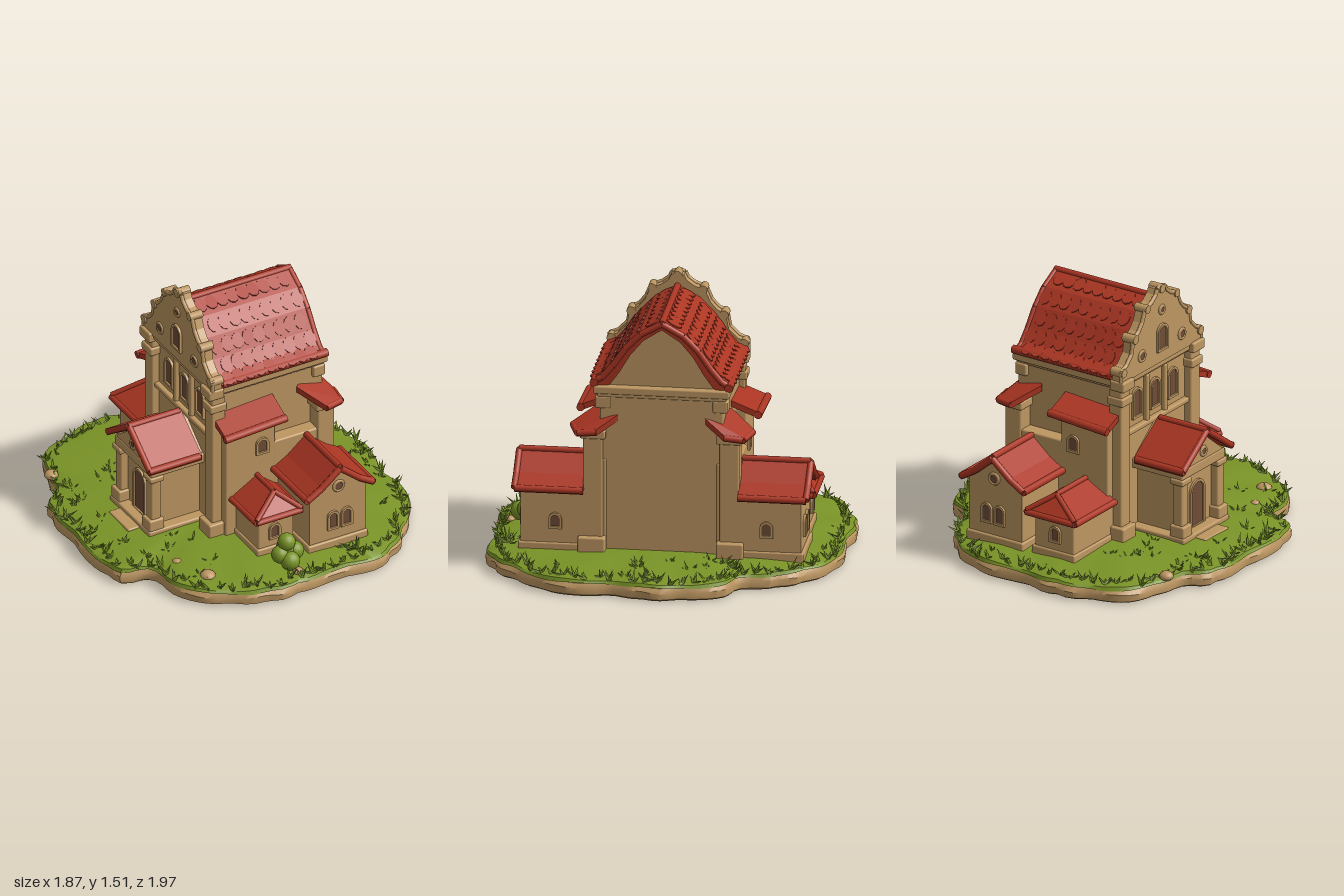
import * as THREE from 'three';
import { mergeGeometries, toCreasedNormals } from 'three/addons/utils/BufferGeometryUtils.js';
import { ConvexGeometry } from 'three/addons/geometries/ConvexGeometry.js';
import { RoundedBoxGeometry } from 'three/addons/geometries/RoundedBoxGeometry.js';

const paint = (name, color) => Object.assign(new THREE.MeshStandardMaterial({ color }), { name });
const V = (x, y, z) => new THREE.Vector3(x, y, z);

export function createModel() {
  const model = new THREE.Group();
  const plaster = paint('plaster', 0xbe9762), red = paint('roofRed', 0xac3623);
  const green = paint('grassGreen', 0x7a9427), pane = paint('windowBrown', 0x704c37);

  let seed = 7;
  const rand = () => (seed = (seed * 16807) % 2147483647) / 2147483647;
  const add = (name, geo, mat, parent = model) => {
    const m = new THREE.Mesh(geo, mat);
    m.name = name;
    parent.add(m);
    return m;
  };
  // Box given by its limits on each axis
  const box = (name, x0, x1, y0, y1, z0, z1) => {
    const m = add(name, new RoundedBoxGeometry(x1 - x0, y1 - y0, Math.abs(z1 - z0), 2, 0.01), plaster);
    m.position.set((x0 + x1) / 2, (y0 + y1) / 2, (z0 + z1) / 2);
  };
  const hull = (name, pts, mat) => add(name, new ConvexGeometry(pts), mat);
  const slab = (name, pts, t) => hull(name, [...pts, ...pts.map(p => p.clone().setY(p.y - t))], red);
  const rod = (name, a, b, r, mat = red) => {
    const m = add(name, new THREE.CylinderGeometry(r, r, a.distanceTo(b), 10), mat);
    m.position.copy(a).add(b).multiplyScalar(0.5);
    m.quaternion.setFromUnitVectors(V(0, 1, 0), b.clone().sub(a).normalize());
  };
  // Shape lying in the z-y plane, extruded along x
  const extrudeX = (name, pts, x0, x1, mat) => {
    const geo = new THREE.ExtrudeGeometry(new THREE.Shape(pts.map(p => new THREE.Vector2(-p[0], p[1]))),
      { depth: x1 - x0, bevelEnabled: false });
    const m = add(name, geo, mat);
    m.rotation.y = Math.PI / 2;
    m.position.x = x0;
  };

  // Island: an irregular outline lofted through [scale, height] rings
  const outline = new THREE.CatmullRomCurve3([[-.27, -.98], [-.5, -.91], [-.66, -.82], [-.74, -.63], [-.76, -.5], [-.88, -.38],
    [-.905, -.1], [-.915, .1], [-.86, .4], [-.7, .45], [-.68, .62], [-.55, .81], [-.36, .92], [-.18, .97], [.1, .95], [.4, .96],
    [.58, .88], [.7, .75], [.84, .58], [.88, .4], [.87, .2], [.915, 0], [.88, -.2], [.81, -.4], [.67, -.47], [.62, -.65],
    [.5, -.81], [.36, -.91], [.22, -.96], [0, -.95]].map(p => V(p[0], 0, p[1])), true);
  const N = 120, ring = outline.getSpacedPoints(N).slice(0, N);
  const loft = (name, rings, wobble, mat) => {
    const pos = [], idx = [];
    rings.forEach(([s, y], j) => ring.forEach((p, i) => {
      const t = i / N * Math.PI * 2;
      const k = s * (1 + wobble * (Math.abs(Math.sin(12 * t + 0.9 * Math.sin(7 * t))) - 0.6));
      pos.push(p.x * k, y + (s > 0.5 && y > 0.03 ? 0.005 * Math.sin(14 * t + j) : 0), p.z * k);
      if (j) {
        const a = (j - 1) * N + i, b = (j - 1) * N + (i + 1) % N;
        idx.push(a, b, b + N, a, b + N, a + N);
      }
    }));
    const g = new THREE.BufferGeometry();
    g.setAttribute('position', new THREE.Float32BufferAttribute(pos, 3));
    g.setIndex(idx);
    add(name, toCreasedNormals(g, 0.7), mat);
  };
  loft('stoneRim', [[0, 0], [0.98, 0], [1, 0.012], [1.004, 0.05], [0.985, 0.078], [0.9, 0.08]], 0.022, plaster);
  loft('lawn', [[0.9, 0.06], [1, 0.075], [0.99, 0.092], [0.9, 0.11], [0.5, 0.124], [0, 0.13]], 0.016, green);

  // Grass tufts along the edge and over the lawn
  const blades = [];
  const tuft = (x, z, size, n) => {
    for (let i = 0; i < n; i++) {
      const h = size * (0.6 + rand() * 0.6);
      const b = new THREE.ConeGeometry(0.012, h, 3);
      b.translate(0, h / 2, 0).rotateX(0.3 + rand() * 0.9).rotateY(rand() * 6.28);
      blades.push(b.translate(x, 0.092, z));
    }
  };
  for (let i = 0; i < 90; i++) {
    const p = outline.getPointAt(i / 90), k = 0.93 + rand() * 0.06;
    tuft(p.x * k, p.z * k, 0.05 + rand() * 0.03, 5);
  }
  for (let i = 0; i < 80; i++) {
    const p = outline.getPointAt(rand()), k = 0.5 + rand() * 0.42, x = p.x * k, z = p.z * k;
    const built = (x > -0.33 && x < 0.5 && Math.abs(z) < 0.8) || (x < -0.2 && x > -0.68 && Math.abs(z) < 0.25);
    if (!built) tuft(x, z, 0.065, 6);
  }
  tuft(0.35, 0.85, 0.12, 9);
  add('grassTufts', mergeGeometries(blades), green);

  // Bush and loose rocks
  [[-.1, .18, .8, .05], [-.01, .18, .8, .052], [-.05, .19, .78, .06], [-.06, .25, .8, .05], [-.06, .15, .84, .055]].forEach(
    ([x, y, z, r]) => add('bush', new THREE.SphereGeometry(r, 14, 10), green).position.set(x, y, z));
  [[-.49, .69, .045], [-.57, .49, .028], [-.04, .89, .03], [-.74, -.6, .04]].forEach(([x, z, r]) => {
    const m = add('rock', new THREE.IcosahedronGeometry(r, 1), plaster);
    m.position.set(x, 0.105, z);
    m.scale.y = 0.7;
  });

  // Arched or round window: frame with a hole, thin pane behind, facing +z before turning
  const arch = (s, w, h) => {
    s.moveTo(-w, 0).lineTo(w, 0).lineTo(w, h - w).absarc(0, h - w, w, 0, Math.PI, false).lineTo(-w, 0);
    return s;
  };
  const windowAt = (x, y, z, turn, w, h) => {
    const g = new THREE.Group(), f = 0.014;
    g.name = 'window';
    const frame = arch(new THREE.Shape(), w + f, h + 2 * f);
    frame.holes.push(new THREE.Path(arch(new THREE.Path(), w, h).getPoints(8).map(p => p.setY(p.y + f))));
    add('windowFrame', new THREE.ExtrudeGeometry(frame, { depth: 0.014, bevelEnabled: false, curveSegments: 8 }), plaster, g);
    add('windowPane', new THREE.ExtrudeGeometry(arch(new THREE.Shape(), w, h), { depth: 0.004, bevelEnabled: false }), pane, g).position.y = f;
    g.position.set(x, y, z);
    g.rotation.y = turn;
    model.add(g);
  };
  const roundWindow = (x, y, z, turn, r) => {
    const g = new THREE.Group();
    g.name = 'roundWindow';
    add('roundFrame', new THREE.TorusGeometry(r, 0.009, 6, 18), plaster, g);
    add('roundPane', new THREE.CircleGeometry(r, 18), pane, g).position.z = 0.004;
    g.position.set(x, y, z);
    g.rotation.y = turn;
    model.add(g);
  };

  // Main hall and cornice
  box('hall', -0.24, 0.425, 0.08, 1.04, -0.34, 0.34);
  box('corniceLower', -0.26, 0.43, 0.995, 1.03, -0.355, 0.355);
  box('corniceUpper', -0.28, 0.44, 1.015, 1.06, -0.375, 0.375);

  // Curved main roof with gable end
  const slope = [[0.39, 1.085], [0.335, 1.115], [0.275, 1.185], [0.205, 1.285], [0.12, 1.37], [0, 1.435]];
  const other = a => a.slice(0, -1).reverse().map(([z, y]) => [-z, y]);
  const outer = [...slope, ...other(slope)];
  const inner = outer.map(([z, y]) => [z * 0.84, y - 0.045]);
  extrudeX('mainRoof', [...outer, ...inner.slice().reverse()], -0.23, 0.415, red);
  extrudeX('gableWall', inner, -0.22, 0.4, plaster);
  rod('ridge', V(-0.22, 1.428, 0), V(0.415, 1.428, 0), 0.018);
  const tiles = [];
  for (const s of [-1, 1]) {
    rod('eaveRoll', V(-0.22, 1.078, s * 0.37), V(0.435, 1.078, s * 0.37), 0.024);
    slope.slice(0, -1).forEach(([z, y], r) => {
      const [z1, y1] = slope[r + 1], tilt = Math.atan2(y1 - y, z - z1);
      rod('vergeRoll', V(0.407, y - 0.012, s * z * 0.98), V(0.407, y1 - 0.012, s * z1 * 0.98), 0.018);
      for (let i = 0; i < 9; i++) {
        const t = new THREE.CylinderGeometry(0.036, 0.036, 0.01, 10);
        t.scale(1, 1, 1.25).rotateX(s * (tilt - 0.06 + rand() * 0.08));
        tiles.push(t.translate(-0.18 + i * 0.065 + (r % 2) * 0.025, (y + y1) / 2 + 0.001, s * (z + z1) / 2));
      }
    });
  }
  add('roofTiles', mergeGeometries(tiles), red);

  // Scrolled facade gable
  const scroll = [[0.38, 1.05], [0.38, 1.12], [0.33, 1.14], [0.28, 1.19], [0.265, 1.27], [0.215, 1.3],
    [0.18, 1.34], [0.15, 1.41], [0.09, 1.43], [0.05, 1.46], [0.035, 1.49], [0, 1.5]];
  extrudeX('facadeGable', [...scroll, ...other(scroll)], -0.29, -0.225, plaster);
  for (const s of [-1, 1]) {
    [[0.365, 1.11, .026], [0.255, 1.27, .026], [0.14, 1.41, .024], [0.0, 1.485, .026]].forEach(([z, y, r]) =>
      rod('scroll', V(-0.3, y, s * z), V(-0.22, y, s * z), r, plaster));
    for (let i = 0; i < scroll.length - 1; i++)
      rod('gableTrim', V(-0.285, scroll[i][1], s * scroll[i][0]), V(-0.285, scroll[i + 1][1], s * scroll[i + 1][0]), 0.012, plaster);
    roundWindow(-0.292, 1.15, s * 0.19, -Math.PI / 2, 0.028);
    // Facade corner pilasters and the slim ones between windows
    box('facadePilaster', -0.285, -0.2, 0.1, 1.0, s * 0.29, s * 0.375);
    box('pilasterBase', -0.315, -0.19, 0.1, 0.2, s * 0.275, s * 0.4);
    box('pilasterCapital', -0.3, -0.195, 0.91, 0.96, s * 0.28, s * 0.385);
    box('pilasterTop', -0.31, -0.215, 1.0, 1.06, s * 0.28, s * 0.39);
    box('slimPilaster', -0.265, -0.23, 0.7, 1.0, s * 0.07, s * 0.1);
    windowAt(-0.24, 0.77, s * 0.17, -Math.PI / 2, 0.032, 0.15);
  }
  windowAt(-0.24, 0.77, 0, -Math.PI / 2, 0.032, 0.15);
  windowAt(-0.29, 1.12, 0, -Math.PI / 2, 0.036, 0.13);
  roundWindow(-0.292, 1.36, 0, -Math.PI / 2, 0.022);
  box('facadeBand', -0.27, -0.23, 0.7, 0.73, -0.3, 0.3);

  for (const s of [-1, 1]) {
    const turn = s > 0 ? 0 : Math.PI;
    // Side bay under a lean-to roof, and the lower wall behind the annex
    box('sideBay', -0.225, 0.085, 0.08, 0.84, s * 0.3, s * 0.42);
    box('lowerWall', 0.07, 0.43, 0.08, 0.64, s * 0.3, s * 0.42);
    slab('bayRoof', [V(-0.265, 0.875, s * 0.33), V(0.11, 0.9, s * 0.33), V(-0.265, 0.81, s * 0.49), V(0.11, 0.835, s * 0.49)], 0.035);
    rod('bayEave', V(-0.27, 0.797, s * 0.488), V(0.115, 0.82, s * 0.488), 0.022);
    windowAt(0, 0.59, s * 0.42, turn, 0.026, 0.075);
    // Corner buttress with its slanted cap
    box('buttress', 0.345, 0.45, 0.08, 0.82, s * 0.32, s * 0.43);
    box('buttressBase', 0.325, 0.485, 0.08, 0.2, s * 0.305, s * 0.455);
    box('buttressCapital', 0.33, 0.46, 0.76, 0.81, s * 0.305, s * 0.445);
    slab('buttressRoof', [V(0.25, 0.905, s * 0.36), V(0.41, 0.915, s * 0.21), V(0.36, 0.825, s * 0.5), V(0.485, 0.825, s * 0.35),
      V(0.475, 0.812, s * 0.46)], 0.035);
    rod('buttressEave', V(0.36, 0.81, s * 0.495), V(0.475, 0.798, s * 0.455), 0.018);
    rod('buttressEave', V(0.475, 0.798, s * 0.455), V(0.482, 0.81, s * 0.35), 0.018);
    box('upperCornerBlock', 0.355, 0.43, 0.93, 1.0, s * 0.28, s * 0.365);

    // Large gabled annex, its roof slopes flaring near the eaves
    const x = 0.275, z0 = s * 0.425, z1 = s * 0.77, over = s * 0.8;
    hull('annexWalls', [s * 0.33, z1].flatMap(z => [V(0.1, 0.08, z), V(0.45, 0.08, z), V(0.1, 0.47, z), V(0.45, 0.47, z), V(x, 0.59, z)]), plaster);
    box('annexPlinth', 0.085, 0.46, 0.08, 0.155, s * 0.44, s * 0.785);
    for (const k of [-1, 1]) {
      const prof = [[0, 0.63], [0.12, 0.53], [0.205, 0.48]].map(([d, y]) => [V(x + k * d, y, z0), V(x + k * d, y, over)]);
      for (let i = 0; i < 2; i++) {
        slab('annexRoof', [...prof[i], ...prof[i + 1]], 0.035);
        rod('annexVerge', prof[i][1].clone().add(V(0, -0.01, 0)), prof[i + 1][1].clone().add(V(0, -0.01, 0)), 0.019);
      }
      rod('annexEave', prof[2][0].clone().add(V(0, -0.012, 0)), prof[2][1].clone().add(V(0, -0.012, 0)), 0.02);
    }
    rod('annexRidge', V(x, 0.628, z0), V(x, 0.628, over), 0.018);
    for (const wx of [0.245, 0.33]) windowAt(wx, 0.22, z1, turn, 0.022, 0.09);
    roundWindow(0.28, 0.49, s * 0.774, turn, 0.03);
    windowAt(0.45, 0.235, s * 0.58, Math.PI / 2, 0.022, 0.065);
  }

  // Small annexes with hipped roofs
  for (const [x, hw, z1] of [[-0.05, 0.14, 0.7], [-0.1, 0.16, -0.785]]) {
    const s = Math.sign(z1), w = hw - 0.03, end = z1 - s * 0.035;
    box('smallAnnex', x - w, x + w, 0.08, 0.355, s * 0.36, end);
    box('smallAnnexPlinth', x - w - 0.012, x + w + 0.012, 0.08, 0.155, s * 0.4, end + s * 0.012);
    const apex = V(x + 0.02, 0.46, z1 - s * 0.09), back = V(x + 0.02, 0.46, s * 0.4);
    const c = [V(x - hw, 0.365, s * 0.4), V(x - hw, 0.365, z1), V(x + hw, 0.365, z1), V(x + hw, 0.365, s * 0.4)];
    hull('hippedRoof', [apex, back, ...c, ...c.map(p => p.clone().setY(0.335))], red);
    for (let i = 0; i < 3; i++) rod('hipEave', c[i].clone().setY(0.352), c[i + 1].clone().setY(0.352), 0.018);
    rod('hipRidge', back, apex, 0.015);
    for (const i of [1, 2]) rod('hipRoll', apex, c[i], 0.015);
    windowAt(x - 0.01, 0.2, end, s > 0 ? 0 : Math.PI, 0.022, 0.07);
  }

  // Entrance porch
  box('porchRoom', -0.52, -0.23, 0.08, 0.53, -0.155, 0.155);
  windowAt(-0.52, 0.135, 0, -Math.PI / 2, 0.055, 0.25);
  box('porchFloor', -0.59, -0.23, 0.08, 0.145, -0.22, 0.22);
  box('step', -0.66, -0.58, 0.08, 0.125, -0.11, 0.11);
  box('porchBeam', -0.57, -0.23, 0.48, 0.54, -0.205, 0.205);
  hull('porchPediment', [-0.565, -0.24].flatMap(x => [V(x, 0.53, -0.2), V(x, 0.53, 0.2), V(x, 0.69, 0)]), plaster);
  roundWindow(-0.568, 0.59, 0, -Math.PI / 2, 0.024);
  for (const s of [-1, 1]) {
    box('porchColumn', -0.565, -0.505, 0.14, 0.49, s * 0.14, s * 0.2);
    box('columnBase', -0.585, -0.49, 0.14, 0.21, s * 0.125, s * 0.215);
    box('columnCapital', -0.58, -0.49, 0.45, 0.485, s * 0.125, s * 0.215);
    slab('porchRoof', [V(-0.595, 0.725, 0), V(-0.27, 0.725, 0), V(-0.595, 0.56, s * 0.235), V(-0.27, 0.56, s * 0.235)], 0.035);
    rod('porchEave', V(-0.6, 0.55, s * 0.23), V(-0.28, 0.55, s * 0.23), 0.02);
    rod('porchVerge', V(-0.592, 0.715, 0), V(-0.592, 0.55, s * 0.23), 0.018);
  }
  rod('porchRidge', V(-0.6, 0.717, 0), V(-0.28, 0.717, 0), 0.018);
  return model;
}
